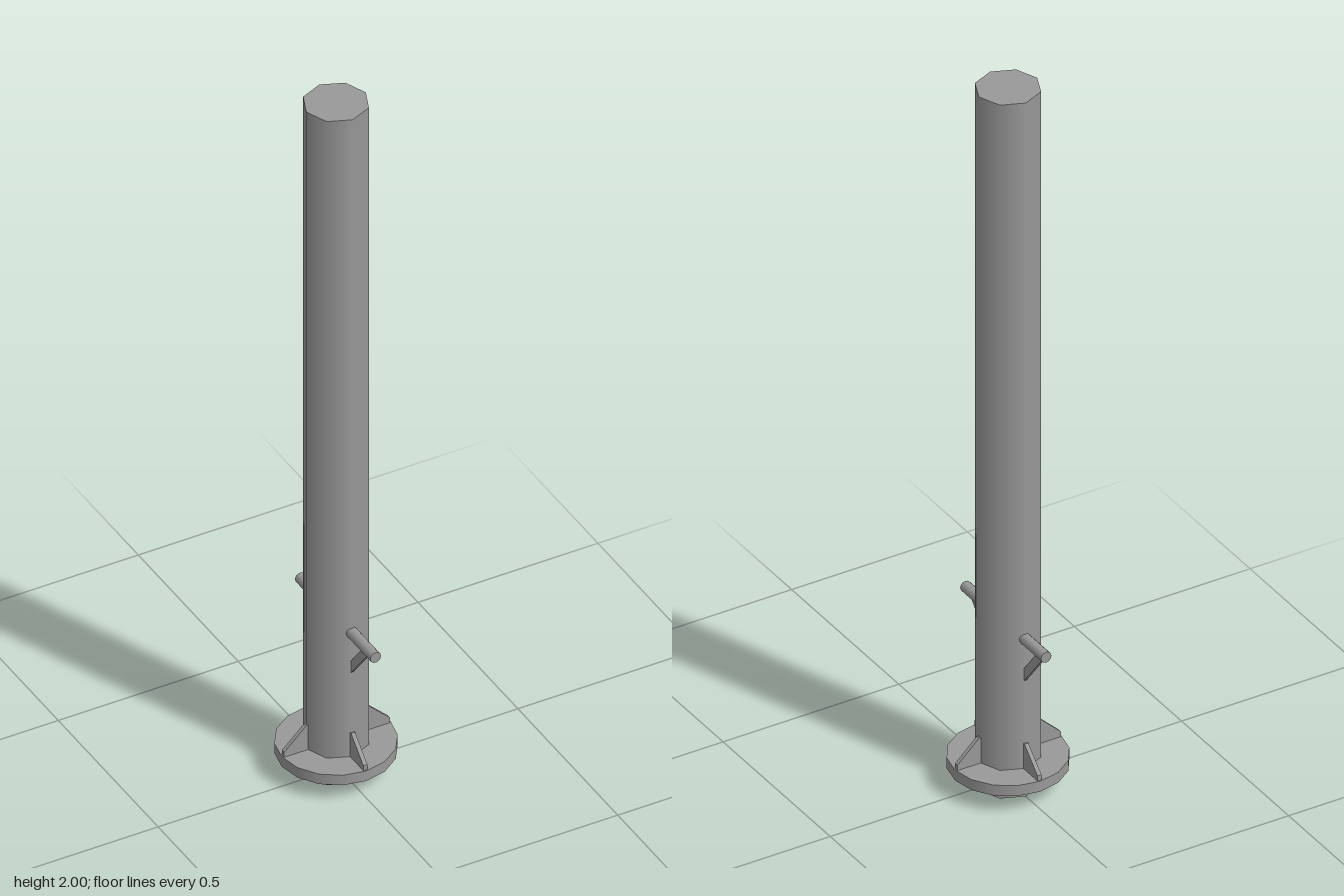
import * as THREE from 'three';

const AXIS_Z = -0.01; // the post stands slightly behind the handles' centre

export function createModel() {
  const steel = new THREE.MeshStandardMaterial({ color: 0x999999, side: THREE.DoubleSide });
  steel.name = 'grey steel';
  const model = new THREE.Group();
  model.name = 'post';

  const add = (parent, name, geometry, x = 0, y = 0, z = 0) => {
    const mesh = new THREE.Mesh(geometry, steel);
    mesh.name = name;
    mesh.position.set(x, y, z);
    parent.add(mesh);
    return mesh;
  };

  // Thin plate with a (radius, height) outline, centred on its thickness
  const plate = (points, thickness) => {
    const shape = new THREE.Shape(points.map(([r, y]) => new THREE.Vector2(r, y)));
    return new THREE.ExtrudeGeometry(shape, { depth: thickness, bevelEnabled: false })
      .translate(0, 0, -thickness / 2);
  };

  // Everything arranged round the post axis
  const body = new THREE.Group();
  body.name = 'body';
  body.position.z = AXIS_Z;
  model.add(body);

  // Octagonal tube, open at the foot and capped on top
  add(body, 'tube', new THREE.CylinderGeometry(0.083, 0.083, 2, 8, 1, true), 0, 1, 0);
  add(body, 'topCap', new THREE.CircleGeometry(0.083, 8).rotateX(-Math.PI / 2), 0, 2, 0);

  // Base flange
  add(body, 'flange', new THREE.CylinderGeometry(0.151, 0.151, 0.03, 16), 0, 0.066, 0);

  // Four gussets between flange and tube
  const gusset = plate([[0.07, 0.08], [0.147, 0.08], [0.147, 0.096], [0.086, 0.154], [0.07, 0.154]], 0.011);
  for (let i = 0; i < 4; i++) {
    add(body, 'gusset', gusset).rotation.y = i * Math.PI / 2;
  }

  // Diagonal braces under the handles, front and back
  const brace = plate([[0.08, 0.332], [0.168, 0.442], [0.138, 0.442], [0.08, 0.368]], 0.008);
  for (const side of [-1, 1]) {
    add(body, 'brace', brace).rotation.y = side * Math.PI / 2;
  }

  // Handle rod passing through the tube
  const rod = new THREE.CylinderGeometry(0.015, 0.015, 0.377, 12).rotateX(Math.PI / 2);
  add(model, 'handleRod', rod, 0, 0.453, 0);

  return model;
}
